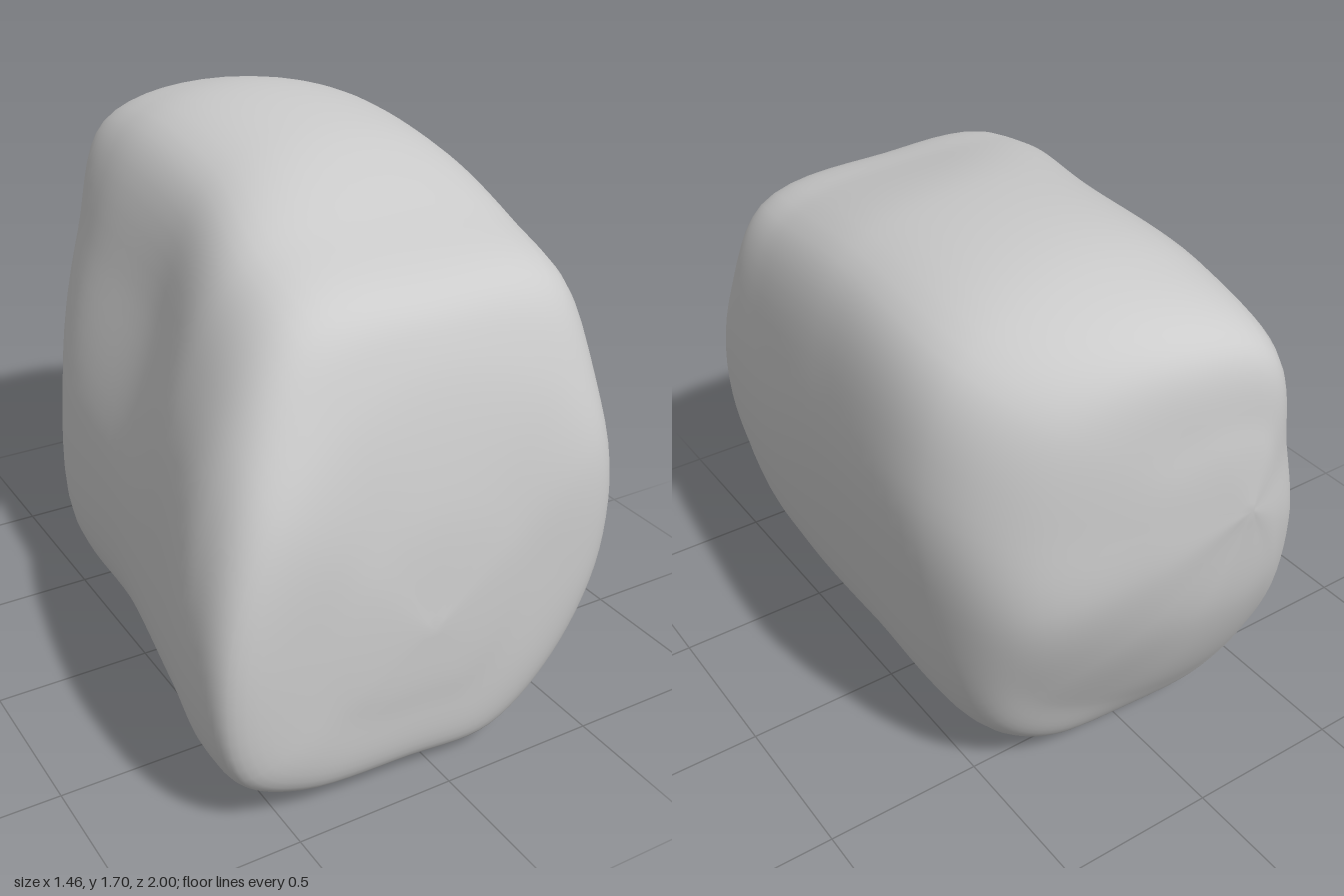
import * as THREE from 'three';
import { mergeVertices } from 'three/addons/utils/BufferGeometryUtils.js';

const AROUND = 84, ALONG = 80;

// Cross-sections from front to back. Each lists x, y pairs, counter-clockwise from the bottom.
const OUTLINES = [
  [-0.1, 0.08, 0.19, 0.08, 0.39, 0.28, 0.52, 0.6, 0.5, 0.95, 0.34, 1.19,
    0, 1.31, -0.33, 1.23, -0.57, 0.98, -0.69, 0.6, -0.64, 0.23, -0.45, 0.11],
  [-0.1, 0.04, 0.28, 0.05, 0.46, 0.2, 0.59, 0.6, 0.58, 1.05, 0.44, 1.38,
    0, 1.44, -0.39, 1.41, -0.61, 1.13, -0.725, 0.62, -0.66, 0.2, -0.46, 0.05],
  [-0.1, 0.02, 0.3, 0.04, 0.5, 0.2, 0.63, 0.6, 0.64, 1.05, 0.51, 1.46,
    0, 1.55, -0.38, 1.5, -0.58, 1.15, -0.66, 0.65, -0.61, 0.2, -0.4, 0.03],
  [-0.08, 0, 0.3, 0.025, 0.52, 0.22, 0.66, 0.7, 0.69, 1.15, 0.57, 1.55,
    0.15, 1.67, -0.26, 1.57, -0.44, 1.15, -0.57, 0.65, -0.53, 0.2, -0.34, 0.03],
  [0, 0.07, 0.3, 0.09, 0.52, 0.27, 0.67, 0.75, 0.71, 1.2, 0.6, 1.54,
    0.2, 1.68, -0.2, 1.58, -0.38, 1.15, -0.49, 0.7, -0.47, 0.19, -0.28, 0.08],
  [0.02, 0.28, 0.25, 0.31, 0.43, 0.45, 0.55, 0.8, 0.57, 1.15, 0.47, 1.44,
    0.15, 1.56, -0.16, 1.48, -0.27, 1.15, -0.33, 0.85, -0.38, 0.38, -0.22, 0.27],
];

// Depth of each section; the front rim leans back at top and bottom, the back rim is bowed.
const DEPTHS = [
  (x, y) => 0.965 - 0.42 * Math.max(0, y - 0.85) ** 2 - 0.1 * Math.max(0, 0.4 - y),
  () => 0.79,
  () => 0.48,
  () => 0,
  () => -0.59,
  (x, y) => -0.95 + 0.2 * Math.abs(x + 0.08) + 0.35 * Math.max(0, 0.75 - y),
];

const FRONT_POLE = new THREE.Vector3(-0.08, 0.55, 1);
const BACK_POLE = new THREE.Vector3(-0.08, 1.05, -1);

// Smooth closed ring through one section
function ring(outline, depth) {
  const points = [];
  for (let i = 0; i < outline.length; i += 2) {
    const x = outline[i], y = outline[i + 1];
    points.push(new THREE.Vector3(x, y, depth(x, y)));
  }
  const curve = new THREE.CatmullRomCurve3(points, true, 'centripetal');
  return Array.from({ length: AROUND }, (_, j) => curve.getPoint(j / AROUND));
}

// Ring inside an end face, nearly level with its pole so that the face stays flat
function inset(rim, pole) {
  return rim.map((p) => new THREE.Vector3(
    THREE.MathUtils.lerp(p.x, pole.x, 0.5),
    THREE.MathUtils.lerp(p.y, pole.y, 0.5),
    THREE.MathUtils.lerp(p.z, pole.z, 0.75)));
}

function boulderGeometry() {
  const sections = OUTLINES.map((outline, i) => ring(outline, DEPTHS[i]));
  const rings = [
    inset(sections[0], FRONT_POLE), ...sections,
    inset(sections[sections.length - 1], BACK_POLE),
  ];

  // One smooth curve per column, from the front pole to the back pole
  const positions = [], indices = [];
  for (let j = 0; j < AROUND; j++) {
    const curve = new THREE.CatmullRomCurve3(
      [FRONT_POLE, ...rings.map((r) => r[j]), BACK_POLE], false, 'centripetal');
    const next = (j + 1) % AROUND;
    for (let i = 0; i <= ALONG; i++) {
      const p = curve.getPoint(i / ALONG);
      positions.push(p.x, p.y, p.z);
      const a = j * (ALONG + 1) + i, b = next * (ALONG + 1) + i;
      if (i < ALONG - 1) indices.push(a, a + 1, b + 1);
      if (i > 0 && i < ALONG) indices.push(a, b + 1, b);
    }
  }

  const geometry = new THREE.BufferGeometry();
  geometry.setAttribute('position', new THREE.Float32BufferAttribute(positions, 3));
  geometry.setIndex(indices);

  // Weld the poles so that the whole surface shades smoothly
  const welded = mergeVertices(geometry, 1e-5);
  welded.computeVertexNormals();
  return welded;
}

export function createModel() {
  const group = new THREE.Group();
  group.name = 'rock';
  const boulder = new THREE.Mesh(
    boulderGeometry(), new THREE.MeshStandardMaterial({ color: 0xcccccc }));
  boulder.name = 'boulder';
  group.add(boulder);
  return group;
}
